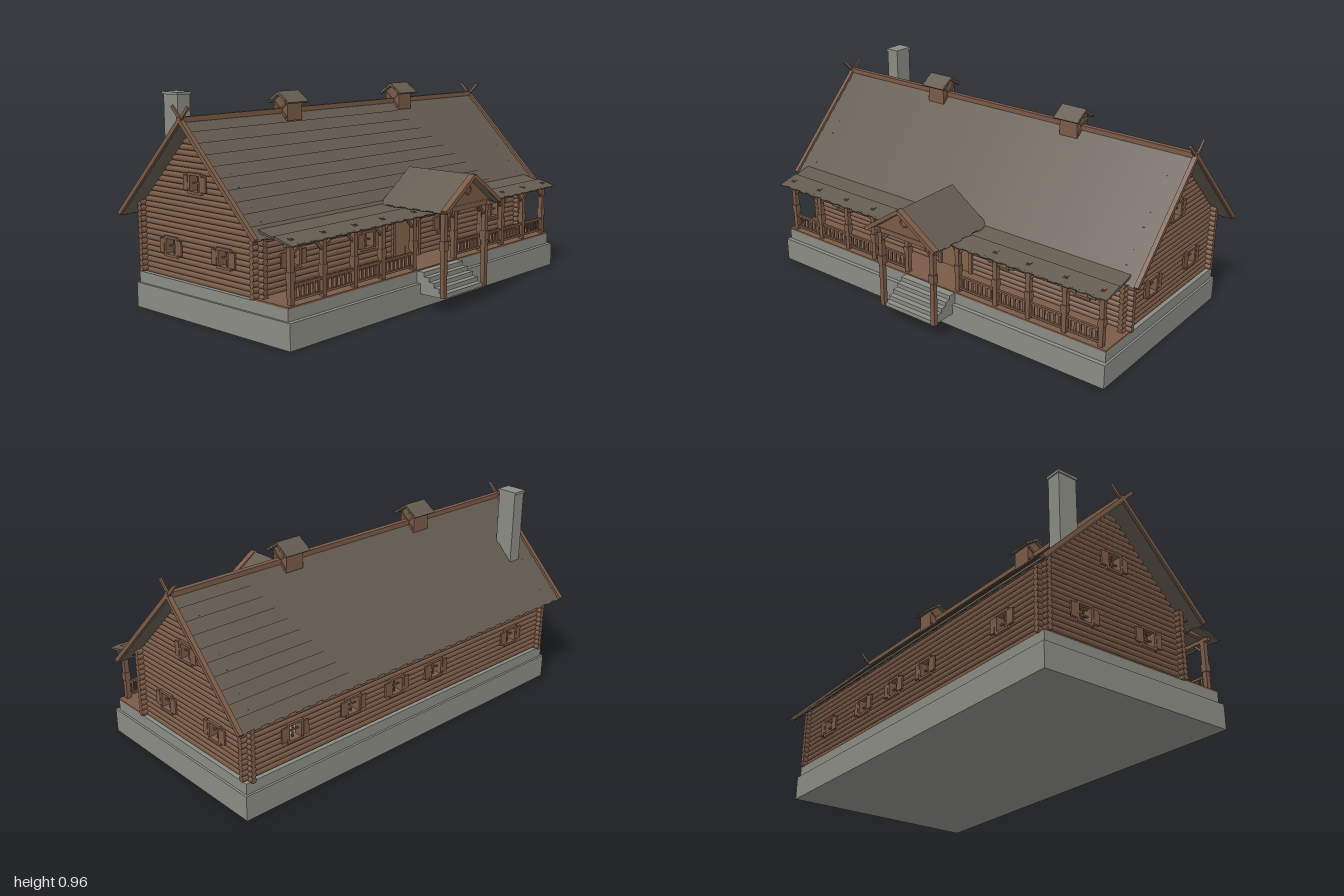
import * as THREE from 'three';
import { mergeGeometries } from 'three/addons/utils/BufferGeometryUtils.js';

const V = (x, y, z) => new THREE.Vector3(x, y, z);
const wood = new THREE.MeshStandardMaterial({ color: 0x7a5b47 });
const doorWood = new THREE.MeshStandardMaterial({ color: 0x846349 });
const shingle = new THREE.MeshStandardMaterial({ color: 0x645b50 });
const stone = new THREE.MeshStandardMaterial({ color: 0x8b8c84 });
wood.name = 'wood'; doorWood.name = 'doorWood'; shingle.name = 'shingle'; stone.name = 'stone';

const MID = -0.16; // z of the main ridge
const BASE = 0.165; // floor level
const PITCH = 0.0245; // log spacing

// Box given by its limits
function box(x0, x1, y0, y1, z0, z1) {
  return new THREE.BoxGeometry(x1 - x0, y1 - y0, z1 - z0)
    .translate((x0 + x1) / 2, (y0 + y1) / 2, (z0 + z1) / 2);
}

// Straight beam between two points, w across and h deep
function beam(a, b, w, h) {
  const up = Math.abs(a.x - b.x) + Math.abs(a.z - b.z) < 1e-4 ? V(0, 0, 1) : V(0, 1, 0);
  const m = new THREE.Matrix4().lookAt(a, b, up).setPosition(a.clone().add(b).multiplyScalar(0.5));
  return new THREE.BoxGeometry(w, h, a.distanceTo(b)).applyMatrix4(m);
}

// Wall of stacked round logs along x, cut around openings {u, v, w, h}
function logWall(y0, y1, halfAt, holes) {
  const out = [];
  for (let y = y0; y < y1; y += PITCH) {
    const half = halfAt(y);
    if (half < 0.01) break;
    let start = -half;
    const cuts = holes.filter(o => Math.abs(y - o.v) < o.h / 2).sort((a, b) => a.u - b.u);
    for (const stop of [...cuts.map(o => [o.u - o.w / 2, o.u + o.w / 2]), [half, 0]]) {
      const len = stop[0] - start;
      if (len > 0) out.push(new THREE.CylinderGeometry(0.0135, 0.0135, len, 8)
        .rotateZ(Math.PI / 2).translate(start + len / 2, y, 0));
      start = stop[1];
    }
  }
  return mergeGeometries(out);
}

// One roof slope: thin deck plus overlapping rows of boards, running along x
function slope(half, ridge, eave, rows, board) {
  const [z0, y0] = ridge, [z1, y1] = eave;
  const len = Math.hypot(z1 - z0, y1 - y0), step = len / rows, out = [];
  const n = Math.round(2 * half / board), w = 2 * half / n;
  out.push(new THREE.BoxGeometry(2 * half, 0.006, len).translate(0, -0.009, len / 2));
  for (let r = 0; r < rows; r++) for (let i = 0; i < n; i++) {
    const l = step * 1.12 - (i % 2) * 0.005;
    out.push(new THREE.BoxGeometry(w, 0.005, l).translate(0, 0, l / 2).rotateX(0.07)
      .translate(-half + w * (i + 0.5), -0.002, r * step));
  }
  const g = mergeGeometries(out).rotateX(Math.atan2(y0 - y1, Math.abs(z1 - z0)));
  if (z1 < z0) g.rotateY(Math.PI);
  return g.translate(0, y0, z0);
}

// Open window with cross bars, casing and folded-back shutters, facing +z
function windowGeo() {
  const out = [box(-0.003, 0.003, -0.035, 0.035, -0.003, 0.003), box(-0.032, 0.032, -0.003, 0.003, -0.003, 0.003)];
  for (const s of [-1, 1]) {
    out.push(new THREE.BoxGeometry(0.012, 0.088, 0.04).translate(s * 0.036, 0, 0));
    out.push(new THREE.BoxGeometry(0.084, 0.011, 0.042).translate(0, s * 0.039, 0));
    out.push(new THREE.BoxGeometry(0.028, 0.064, 0.008).translate(s * 0.057, 0, 0.017));
  }
  return mergeGeometries(out);
}

export function createModel() {
  const model = new THREE.Group();
  const add = (name, mat, geos) => {
    const mesh = new THREE.Mesh(Array.isArray(geos) ? mergeGeometries(geos) : geos, mat);
    mesh.name = name;
    model.add(mesh);
  };
  const opening = (u, v = 0.3) => ({ u, v, w: 0.07, h: 0.084 });

  // Foundation and stairs
  add('foundation', stone, [box(-0.945, 0.945, 0, 0.112, -0.553, 0.41), box(-0.935, 0.935, 0.112, 0.162, -0.543, 0.39)]);
  const steps = [];
  for (let i = 0; i < 5; i++) steps.push(box(-0.145, 0.145, 0.065, 0.085 + i * 0.02, 0.385, 0.54 - i * 0.028));
  add('stairs', stone, steps);
  add('porchFloor', wood, box(-0.935, 0.935, 0.162, 0.17, 0.19, 0.392));

  // Log walls
  const frontX = [-0.73, -0.27, 0.27, 0.7], backX = [0.68, 0.36, 0.1, -0.15, -0.68];
  const doorHole = { u: 0, v: 0.27, w: 0.19, h: 0.25 };
  add('frontWall', wood, logWall(BASE + 0.012, 0.475, () => 0.943, [...frontX.map(x => opening(x)), doorHole]).translate(0, 0, 0.195));
  add('backWall', wood, logWall(BASE + 0.012, 0.475, () => 0.943, backX.map(x => opening(x))).translate(0, 0, -0.52));
  const sideWindows = [[0.01, 0.3], [-0.33, 0.3], [MID, 0.59]];
  for (const s of [-1, 1]) {
    add('gableWall', wood, logWall(BASE + 0.006, 0.83, y => Math.min(0.395, 0.838 - y),
      sideWindows.map(([z, y]) => opening(z - MID, y))).rotateY(-Math.PI / 2).translate(s * 0.905, 0, MID));
  }

  // Windows
  const wins = [];
  for (const x of frontX) wins.push(windowGeo().translate(x, 0.3, 0.198));
  for (const x of backX) wins.push(windowGeo().rotateY(Math.PI).translate(x, 0.3, -0.523));
  for (const s of [-1, 1]) for (const [z, y] of sideWindows) wins.push(windowGeo().rotateY(s * Math.PI / 2).translate(s * 0.908, y, z));
  add('windows', wood, wins);

  // Door
  add('door', doorWood, [box(-0.083, -0.001, BASE, 0.375, 0.185, 0.205), box(0.001, 0.083, BASE, 0.375, 0.185, 0.205)]);
  add('doorFrame', wood, [box(-0.1, -0.083, BASE, 0.392, 0.178, 0.216), box(0.083, 0.1, BASE, 0.392, 0.178, 0.216),
    box(-0.115, 0.115, 0.375, 0.4, 0.178, 0.22)]);

  // Main roof with ridge beam, gable boards and crossed tips
  for (const s of [-1, 1]) add('mainRoof', shingle, slope(0.99, [MID, 0.855], [MID + s * 0.428, 0.425], 10, 0.035));
  add('ridgeBeam', wood, box(-1, 1, 0.848, 0.87, MID - 0.012, MID + 0.012));
  const boards = [];
  for (const sx of [-1, 1]) for (const sz of [-1, 1]) {
    const x = sx * 0.99;
    boards.push(beam(V(x, 0.857, MID), V(x, 0.422, MID + sz * 0.433), 0.02, 0.018));
    boards.push(beam(V(x + sz * 0.004, 0.845, MID + sz * 0.01), V(x + sz * 0.004, 0.912, MID - sz * 0.055), 0.008, 0.014));
  }
  add('gableBoards', wood, boards);

  // Ridge vents
  for (const s of [-1, 1]) {
    const x = s * 0.385, parts = [box(x - 0.046, x + 0.046, 0.815, 0.9, MID - 0.042, MID + 0.042)];
    const attic = new THREE.Shape([new THREE.Vector2(-0.042, 0.9), new THREE.Vector2(0.042, 0.9), new THREE.Vector2(0, 0.932)]);
    parts.push(new THREE.ExtrudeGeometry(attic, { depth: 0.09, bevelEnabled: false })
      .rotateY(Math.PI / 2).translate(x - 0.045, 0, MID).toNonIndexed());
    for (const e of [-1, 1]) for (const d of [-1, 1]) {
      parts.push(beam(V(x + e * 0.048, 0.83, MID - d * 0.036), V(x + e * 0.048, 0.895, MID + d * 0.036), 0.006, 0.01));
    }
    add('ridgeVent', wood, parts.map(g => g.index ? g.toNonIndexed() : g));
    for (const d of [-1, 1]) add('ventRoof', shingle, slope(0.064, [MID, 0.945], [MID + d * 0.066, 0.901], 3, 0.13).translate(x, 0, 0));
  }

  // Chimney
  add('chimney', stone, [box(-0.881, -0.815, 0.162, 0.948, -0.405, -0.312), box(-0.886, -0.81, 0.945, 0.957, -0.41, -0.307)]);

  // Porch posts, braces, beams and railing
  const posts = [-0.9, -0.72, -0.535, -0.36, -0.15, 0.15, 0.36, 0.535, 0.72, 0.9], porch = [], rail = [];
  posts.forEach((x, i) => {
    porch.push(box(x - 0.011, x + 0.011, 0.17, 0.428, 0.359, 0.381));
    porch.push(box(x - 0.014, x + 0.014, 0.262, 0.3, 0.356, 0.384));
    porch.push(box(x - 0.008, x + 0.008, 0.415, 0.432, 0.2, 0.375));
    for (const d of [-1, 1]) {
      if (Math.abs(x + d * 0.05) < 0.92) porch.push(beam(V(x, 0.355, 0.37), V(x + d * 0.05, 0.405, 0.37), 0.01, 0.01));
    }
    const next = posts[i + 1];
    if (next === undefined || i === 4) return;
    for (const y of [0.187, 0.245]) rail.push(box(x, next, y - 0.005, y + 0.005, 0.364, 0.376));
    const n = Math.round((next - x) / 0.026);
    for (let k = 1; k < n; k++) {
      const bx = x + (next - x) * k / n;
      rail.push(box(bx - 0.005, bx + 0.005, 0.187, 0.245, 0.367, 0.373));
    }
  });
  porch.push(box(-0.93, 0.93, 0.4, 0.416, 0.361, 0.379));
  add('porchPosts', wood, porch);
  add('railing', wood, rail);
  add('porchRoof', shingle, slope(0.943, [0.23, 0.456], [0.415, 0.424], 2, 0.035));

  // Entrance canopy
  const canopy = [box(-0.175, 0.175, 0.443, 0.466, 0.53, 0.555)];
  for (const s of [-1, 1]) {
    const x = s * 0.15;
    canopy.push(box(x - 0.011, x + 0.011, 0.07, 0.455, 0.529, 0.551));
    canopy.push(box(x - 0.015, x + 0.015, 0.28, 0.322, 0.525, 0.555));
    canopy.push(box(x - 0.01, x + 0.01, 0.445, 0.462, 0.2, 0.575));
    canopy.push(beam(V(x, 0.395, 0.54), V(x - s * 0.05, 0.445, 0.54), 0.01, 0.01));
    canopy.push(beam(V(0, 0.592, 0.578), V(s * 0.2, 0.457, 0.578), 0.03, 0.018));
    add('canopyRoof', shingle, slope(0.183, [0, 0.598], [s * 0.2, 0.457], 5, 0.035).rotateY(Math.PI / 2).translate(0, 0, 0.407));
  }
  add('canopyFrame', wood, canopy);
  const tri = new THREE.Shape([new THREE.Vector2(-0.165, 0.464), new THREE.Vector2(0.165, 0.464), new THREE.Vector2(0, 0.58)]);
  add('canopyGable', wood, new THREE.ExtrudeGeometry(tri, { depth: 0.012, bevelEnabled: false }).translate(0, 0, 0.54));
  add('gableRosette', wood, new THREE.TorusGeometry(0.02, 0.004, 6, 20).translate(0, 0.528, 0.553));

  return model;
}
